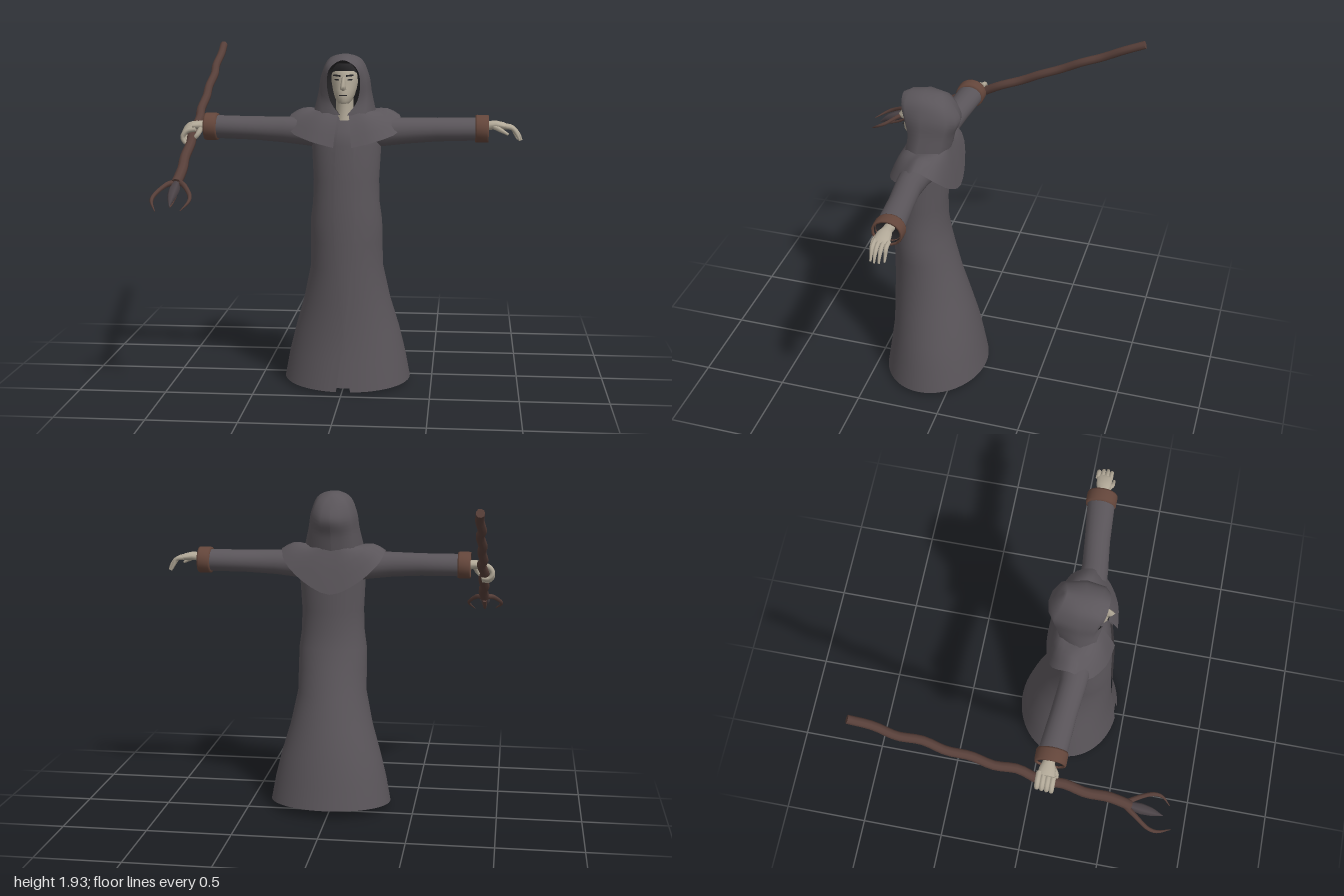
import * as THREE from 'three';

const mat = (name, color) => new THREE.MeshStandardMaterial({ name, color, side: THREE.DoubleSide });
const V = (p) => new THREE.Vector3(...p);

// Surface through rows of points; every row has the same count
function loft(rows, closed) {
  const n = rows[0].length, idx = [];
  for (let i = 0; i < rows.length - 1; i++) {
    for (let j = 0; j < (closed ? n : n - 1); j++) {
      const k = (j + 1) % n, a = i * n + j, b = i * n + k;
      idx.push(a, b, b + n, a, b + n, a + n);
    }
  }
  const g = new THREE.BufferGeometry();
  g.setAttribute('position', new THREE.Float32BufferAttribute(rows.flat().flatMap((p) => [p.x, p.y, p.z]), 3));
  g.setIndex(idx);
  g.computeVertexNormals();
  return g;
}

// Close both ends of a set of rows with a sharp edge
function capped(rows) {
  const cap = (r) => {
    const c = r.reduce((s, p) => s.add(p), new THREE.Vector3()).divideScalar(r.length);
    return r.map(() => c);
  };
  const first = rows[0], last = rows[rows.length - 1];
  return [cap(first), first, ...rows, last, cap(last)];
}

// Horizontal oval section [y, half width, front z, back z], angle 0 at the front
function oval([y, rx, zf, zb], cx = 0, from = 0, to = Math.PI * 2, n = 24, closed = true) {
  const out = [];
  for (let j = 0; j < (closed ? n : n + 1); j++) {
    const t = from + (to - from) * j / n;
    out.push(new THREE.Vector3(cx + rx * Math.sin(t), y, (zf + zb) / 2 + (zf - zb) / 2 * Math.cos(t)));
  }
  return out;
}
const stack = (rows, cx = 0, n = 20) => loft(capped(rows.map((r) => oval(r, cx, 0, Math.PI * 2, n))), true);

// Sections along x [x, y, z, ry, rz], side = 1 or -1
function along(side, rows, n = 18) {
  const r = rows.map(([x, y, z, ry, rz]) => Array.from({ length: n }, (_, j) => {
    const t = j / n * Math.PI * 2;
    return new THREE.Vector3(side * x, y + ry * Math.cos(t), z + rz * Math.sin(t));
  }));
  return side < 0 ? r.reverse() : r;
}

// Tapered tube through a few points
function limb(pts, radii, steps = 10, sides = 8) {
  const curve = new THREE.CatmullRomCurve3(pts.map(V));
  const f = curve.computeFrenetFrames(steps, false), rows = [];
  for (let i = 0; i <= steps; i++) {
    const u = i / steps * (radii.length - 1), k = Math.min(Math.floor(u), radii.length - 2);
    const r = radii[k] + (radii[k + 1] - radii[k]) * (u - k), c = curve.getPointAt(i / steps);
    rows.push(Array.from({ length: sides }, (_, j) => {
      const t = j / sides * Math.PI * 2;
      return c.clone().addScaledVector(f.normals[i], r * Math.cos(t)).addScaledVector(f.binormals[i], r * Math.sin(t));
    }));
  }
  return loft(capped(rows), true);
}

// Symmetric curve from the +x half, ending on x = 0
function arch(half) {
  const other = half.slice(0, -1).reverse().map(([x, y, z]) => [-x, y, z]);
  return new THREE.CatmullRomCurve3([...half, ...other].map(V)).getPoints(36);
}

export function createModel() {
  const root = new THREE.Group();
  const cloth = mat('robe grey', 0x5a555a), skin = mat('pale skin', 0xb2a998), leather = mat('cuff brown', 0x64463b);
  const wood = mat('staff brown', 0x573f39), dark = mat('near black', 0x262527), stone = mat('stone', 0x4b4347);
  const add = (name, geo, m, parent = root) => {
    const mesh = new THREE.Mesh(geo, m);
    mesh.name = name;
    parent.add(mesh);
    return mesh;
  };
  const group = (name) => {
    const g = new THREE.Group();
    g.name = name;
    root.add(g);
    return g;
  };

  // Robe: [y, half width, front z, back z, half gap of the front edges]
  const robe = [
    [0.01, 0.365, 0.45, -0.17, 0.04], [0.18, 0.337, 0.425, -0.145, 0.02], [0.33, 0.3, 0.405, -0.115, 0.002],
    [0.5, 0.25, 0.4, -0.07, 0.02], [0.7, 0.208, 0.395, -0.01, 0.04], [0.85, 0.206, 0.393, 0.032, 0.055],
    [0.97, 0.204, 0.39, 0.062, 0.06], [1.07, 0.19, 0.384, 0.077, 0.06], [1.2, 0.186, 0.376, 0.08, 0.057],
    [1.4, 0.197, 0.36, 0.07, 0.05], [1.48, 0.19, 0.335, 0.075, 0.04], [1.54, 0.15, 0.29, 0.09, 0.035], [1.58, 0.09, 0.27, 0.12, 0.03],
  ];
  const shell = robe.map((r) => {
    const a = Math.asin(r[4] / r[1]);
    return oval(r, 0.01, a, Math.PI * 2 - a, 48, false);
  });
  shell[0].forEach((p, j) => { p.y += 0.02 * (1 - Math.cos(j / 48 * Math.PI * 2)); });
  add('robe', loft(shell, false), cloth);
  add('robeFrontPanel', loft(robe.map(([y, rx, zf, zb, gap]) => {
    const a = Math.asin((gap + 0.025) / rx);
    return oval([y + (y < 0.1 ? 0.02 : 0), rx, zf - 0.014, zb], 0.01, -a, a, 6, false);
  }), false), cloth);

  // Boots and trouser legs under the robe
  for (const s of [1, -1]) {
    add('boot', stack([[0, 0.05, 0.41, 0.12], [0.03, 0.055, 0.42, 0.11], [0.08, 0.05, 0.34, 0.1],
      [0.13, 0.05, 0.25, 0.09], [0.6, 0.065, 0.25, 0.09]], s * 0.12 + 0.01, 12), dark);
  }

  // Shoulder cape draped over the sleeves, lowest at the middle of the back
  const hem = arch([[0.05, 1.395, 0.386], [0.19, 1.43, 0.36], [0.31, 1.48, 0.27], [0.31, 1.563, 0.18],
    [0.28, 1.5, 0.075], [0.16, 1.39, 0.02], [0, 1.32, 0]]);
  const neck = arch([[0.03, 1.57, 0.3], [0.11, 1.585, 0.285], [0.16, 1.59, 0.23], [0.165, 1.595, 0.17],
    [0.13, 1.59, 0.1], [0.07, 1.585, 0.065], [0, 1.585, 0.06]]);
  add('shoulderCape', loft([0, 0.25, 0.5, 0.75, 1].map((k) => hem.map((p, j) => {
    const q = p.clone().lerp(neck[j], k);
    q.y += 0.022 * Math.sin(Math.PI * k);
    return q;
  })), false), cloth);

  // Hood: arches from the front rim to the back seam
  const rim = [[0.02, 1.57, 0.305], [0.072, 1.64, 0.285], [0.093, 1.74, 0.295], [0.075, 1.83, 0.32], [0, 1.877, 0.33]];
  const hood = [rim,
    [[0.12, 1.57, 0.29], [0.128, 1.67, 0.27], [0.122, 1.78, 0.28], [0.085, 1.86, 0.295], [0, 1.9, 0.28]],
    [[0.18, 1.57, 0.21], [0.152, 1.69, 0.19], [0.135, 1.79, 0.19], [0.09, 1.88, 0.19], [0, 1.907, 0.2]],
    [[0.13, 1.57, 0.09], [0.122, 1.67, 0.07], [0.112, 1.77, 0.05], [0.075, 1.86, 0.08], [0, 1.904, 0.1]],
    [[0.05, 1.57, 0.06], [0.055, 1.66, 0.04], [0.055, 1.75, 0.01], [0.04, 1.84, 0.045], [0, 1.89, 0.085]],
    [[0, 1.57, 0.055], [0, 1.66, 0.035], [0, 1.75, 0], [0, 1.83, 0.037], [0, 1.885, 0.08]]];
  add('hood', loft(hood.map((h) => arch(h).reverse()), false), cloth);
  add('hoodLining', loft([rim, rim.map(([x, y, z]) => [x * 0.98, y - 0.008, z - 0.06]), rim.map(([x, y]) => [x * 0.5, y - 0.05, 0.18])]
    .map((h) => arch(h).reverse()), false), dark);

  // Head and face
  const head = group('head');
  add('face', stack([[1.635, 0.03, 0.318, 0.22], [1.65, 0.045, 0.328, 0.18], [1.68, 0.058, 0.332, 0.14], [1.71, 0.067, 0.326, 0.12],
    [1.75, 0.075, 0.318, 0.11], [1.79, 0.075, 0.318, 0.11], [1.825, 0.066, 0.305, 0.12], [1.85, 0.035, 0.27, 0.15]]), skin, head);
  add('neck', stack([[1.54, 0.055, 0.29, 0.15], [1.6, 0.05, 0.285, 0.15], [1.66, 0.05, 0.29, 0.15]]), skin, head);
  add('nose', stack([[1.708, 0.008, 0.335, 0.29], [1.716, 0.018, 0.352, 0.29], [1.735, 0.015, 0.363, 0.29], [1.785, 0.008, 0.324, 0.29]], 0, 8), skin, head);
  add('hair', stack([[1.74, 0.081, 0.25, 0.1], [1.8, 0.082, 0.285, 0.1], [1.82, 0.075, 0.312, 0.1], [1.855, 0.05, 0.3, 0.12]]), dark, head);
  for (const s of [1, -1]) {
    for (const [name, y, w, h] of [['eyebrow', 1.791, 0.042, 0.009], ['eye', 1.768, 0.028, 0.007]]) {
      const m = add(name, new THREE.BoxGeometry(w, h, 0.008), dark, head);
      m.position.set(s * 0.036, y, 0.308);
      m.rotation.set(0, s * 0.45, s * 0.08);
    }
  }
  add('mouth', new THREE.BoxGeometry(0.045, 0.004, 0.008), dark, head).position.set(0, 1.683, 0.33);

  // Sleeves and cuffs
  for (const s of [1, -1]) {
    add('sleeve', loft(along(s, [[0.12, 1.46, 0.2, 0.085, 0.1], [0.22, 1.47, 0.203, 0.082, 0.085], [0.35, 1.477, 0.2, 0.074, 0.075],
      [0.52, 1.482, 0.183, 0.067, 0.073], [0.74, 1.486, 0.165, 0.066, 0.079]]), true), cloth);
    add('cuff', loft(along(s, [[0.735, 0.062, 0.07], [0.735, 0.076, 0.084], [0.745, 0.079, 0.088], [0.8, 0.079, 0.088],
      [0.81, 0.076, 0.084], [0.81, 0.066, 0.074], [0.77, 0.064, 0.072]].map(([x, ry, rz]) => [x, 1.487, 0.163, ry, rz])), true), leather);
    add('cuffInside', loft(along(s, [[0.8, 1.487, 0.163, 0.065, 0.073], [0.76, 1.487, 0.163, 0.064, 0.072], [0.76, 1.487, 0.163, 0, 0]]), true), dark);
  }

  // Open left hand
  const left = group('leftHand');
  add('palm', loft(capped(along(1, [[0.74, 1.495, 0.16, 0.026, 0.03], [0.81, 1.505, 0.16, 0.026, 0.03],
    [0.85, 1.51, 0.16, 0.025, 0.042], [0.9, 1.503, 0.157, 0.02, 0.046], [0.925, 1.495, 0.155, 0.012, 0.042]], 14)), true), skin, left);
  [[0.118, 0.975], [0.143, 0.992], [0.168, 0.995], [0.191, 0.985]].forEach(([z, x], i) => add('finger' + (i + 1),
    limb([[0.9, 1.503, z], [0.945, 1.492, z], [x - 0.017, 1.46, z], [x, 1.425, z]], [0.013, 0.012, 0.006]), skin, left));
  add('thumb', limb([[0.84, 1.5, 0.185], [0.875, 1.485, 0.207], [0.92, 1.46, 0.212]], [0.015, 0.013, 0.007]), skin, left);

  // Right hand closed round the staff
  const right = group('rightHand');
  add('palm', loft(capped(along(-1, [[0.74, 1.49, 0.155, 0.026, 0.03], [0.8, 1.49, 0.155, 0.027, 0.033],
    [0.84, 1.493, 0.155, 0.026, 0.046], [0.88, 1.49, 0.155, 0.02, 0.05]], 14)), true), skin, right);
  for (let i = 0; i < 4; i++) {
    const z = 0.115 + i * 0.026, d = -i * 0.009;
    add('finger' + (i + 1), limb([[-0.86, 1.5 + d, z], [-0.91, 1.49 + d, z], [-0.938, 1.455 + d, z], [-0.92, 1.42 + d, z],
      [-0.875, 1.418 + d, z]], [0.015, 0.015, 0.013, 0.009], 14), skin, right);
  }
  add('thumb', limb([[-0.83, 1.48, 0.185], [-0.85, 1.44, 0.205], [-0.885, 1.405, 0.2]], [0.016, 0.014, 0.009]), skin, right);

  // Crooked staff with two claws holding a stone
  const staff = group('staff');
  const wobble = [0, 0.006, -0.006, 0.008, -0.005, 0.004, -0.006, 0.01, -0.008, 0.006, -0.004, 0.008, 0];
  add('shaft', limb(wobble.map((w, i) => {
    const k = i / (wobble.length - 1);
    return [-0.885 + w, 1.91 - 0.69 * k + w * 0.8, -0.865 + 1.485 * k];
  }), [0.024, 0.025, 0.026, 0.028, 0.03], 40, 9), wood, staff);
  add('stone', limb([[-0.885, 1.22, 0.61], [-0.885, 1.19, 0.68], [-0.885, 1.16, 0.75], [-0.885, 1.12, 0.81]], [0.02, 0.032, 0.024, 0.001], 8, 6), stone, staff);
  for (const s of [1, -1]) {
    add('claw', limb([[-0.885 + s * 0.012, 1.225, 0.6], [-0.885 + s * 0.05, 1.215, 0.655], [-0.885 + s * 0.098, 1.17, 0.74],
      [-0.885 + s * 0.1, 1.145, 0.79], [-0.885 + s * 0.065, 1.105, s < 0 ? 0.865 : 0.84]], [0.017, 0.013, 0.011, 0.002], 14, 6), wood, staff);
  }
  add('lowerClaw', limb([[-0.885, 1.205, 0.6], [-0.885, 1.155, 0.67], [-0.885, 1.125, 0.74], [-0.885, 1.115, 0.79]], [0.016, 0.011, 0.002], 10, 6), wood, staff);
  return root;
}
